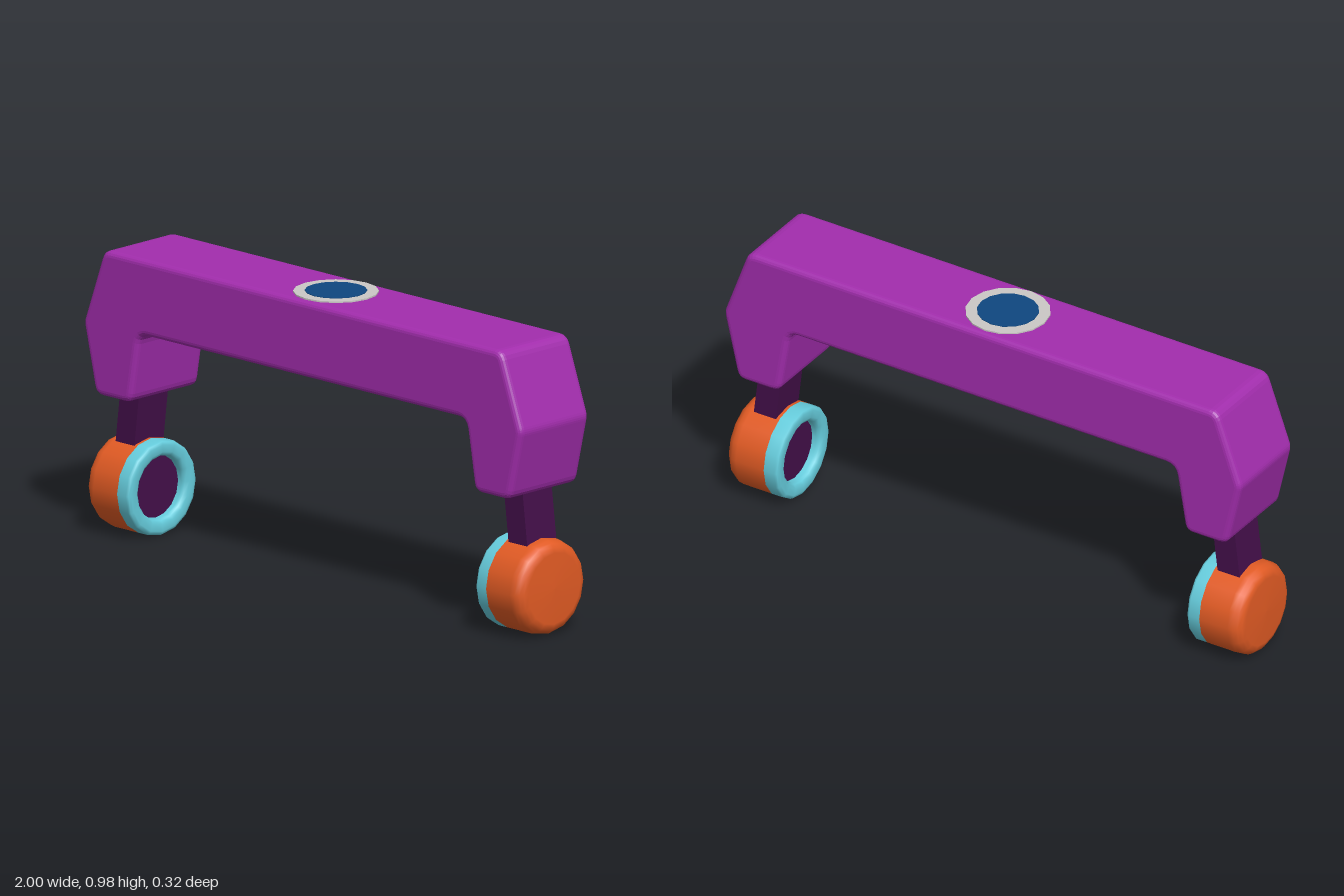
import * as THREE from 'three';

const mat = (name, color) => {
  const m = new THREE.MeshStandardMaterial({ color });
  m.name = name;
  return m;
};

// Closed outline whose corners [x, y, radius] are rounded
function roundedShape(corners) {
  const shape = new THREE.Shape();
  const n = corners.length;
  corners.forEach(([x, y, r], i) => {
    const p = new THREE.Vector2(x, y);
    const toward = ([qx, qy]) =>
      new THREE.Vector2(qx, qy).sub(p).setLength(r).add(p);
    const a = toward(corners[(i + n - 1) % n]);
    const b = toward(corners[(i + 1) % n]);
    if (i === 0) shape.moveTo(a.x, a.y);
    else shape.lineTo(a.x, a.y);
    shape.quadraticCurveTo(x, y, b.x, b.y);
  });
  shape.closePath();
  return shape;
}

// Turned part about the x axis; points are [radius, x]
function turned(points) {
  const g = new THREE.LatheGeometry(points.map(([r, x]) => new THREE.Vector2(r, x)), 16);
  return g.rotateZ(-Math.PI / 2);
}

export function createModel() {
  const purple = mat('purple', 0xa22dad);
  const orange = mat('orange', 0xe25b24);
  const cyan = mat('cyan', 0x66cddd);
  const plum = mat('dark plum', 0x430f49);
  const grey = mat('light grey', 0xcbc8c6);
  const blue = mat('blue', 0x0f4780);

  const model = new THREE.Group();
  model.name = 'headphones';
  const add = (parent, name, geometry, material) => {
    const mesh = new THREE.Mesh(geometry, material);
    mesh.name = name;
    parent.add(mesh);
    return mesh;
  };

  // Headband: angular arch with softened edges
  const half = [
    [0.745, 0.716, 0.035], [0.785, 0.478, 0.03], [0.945, 0.478, 0.03],
    [1.0, 0.715, 0.015], [0.907, 0.972, 0.03],
  ];
  const outline = [...half, ...half.map(([x, y, r]) => [-x, y, r]).reverse()];
  const bevel = 0.02;
  const depth = 0.32 - 2 * bevel;
  const band = new THREE.ExtrudeGeometry(roundedShape(outline), {
    depth, curveSegments: 4, bevelEnabled: true,
    bevelSize: bevel, bevelThickness: bevel, bevelOffset: -bevel, bevelSegments: 4,
  });
  band.translate(0, 0, -depth / 2);
  add(model, 'headband', band, purple);

  // Round badge on top of the band
  add(model, 'badgeRim', new THREE.CylinderGeometry(0.14, 0.14, 0.006, 16), grey)
    .position.y = 0.974;
  add(model, 'badgeCentre', new THREE.CylinderGeometry(0.102, 0.102, 0.006, 16), blue)
    .position.y = 0.976;

  // Slider and ear cup, repeated on both sides
  for (const side of ['left', 'right']) {
    const ear = new THREE.Group();
    ear.name = side + 'Ear';
    if (side === 'right') ear.rotation.y = Math.PI;
    model.add(ear);

    const slider = add(ear, side + 'Slider', new THREE.BoxGeometry(0.085, 0.3, 0.135), plum);
    slider.position.set(0.885, 0.4, 0);
    slider.rotation.z = 0.12;

    const cup = new THREE.Group();
    cup.name = side + 'Cup';
    cup.position.y = 0.161;
    ear.add(cup);
    add(cup, side + 'Shell', turned([
      [0.16, 0.842], [0.16, 0.95], [0.157, 0.968], [0.149, 0.982],
      [0.136, 0.992], [0.12, 0.997], [0, 1.0],
    ]), orange);
    add(cup, side + 'Cushion', turned([
      [0.106, 0.835], [0.106, 0.81], [0.11, 0.798], [0.122, 0.79],
      [0.146, 0.79], [0.156, 0.794], [0.16, 0.802], [0.16, 0.842],
    ]), cyan);
    const mesh = new THREE.CircleGeometry(0.115, 16).rotateY(-Math.PI / 2);
    add(cup, side + 'SpeakerCover', mesh, plum).position.x = 0.825;
  }

  return model;
}
